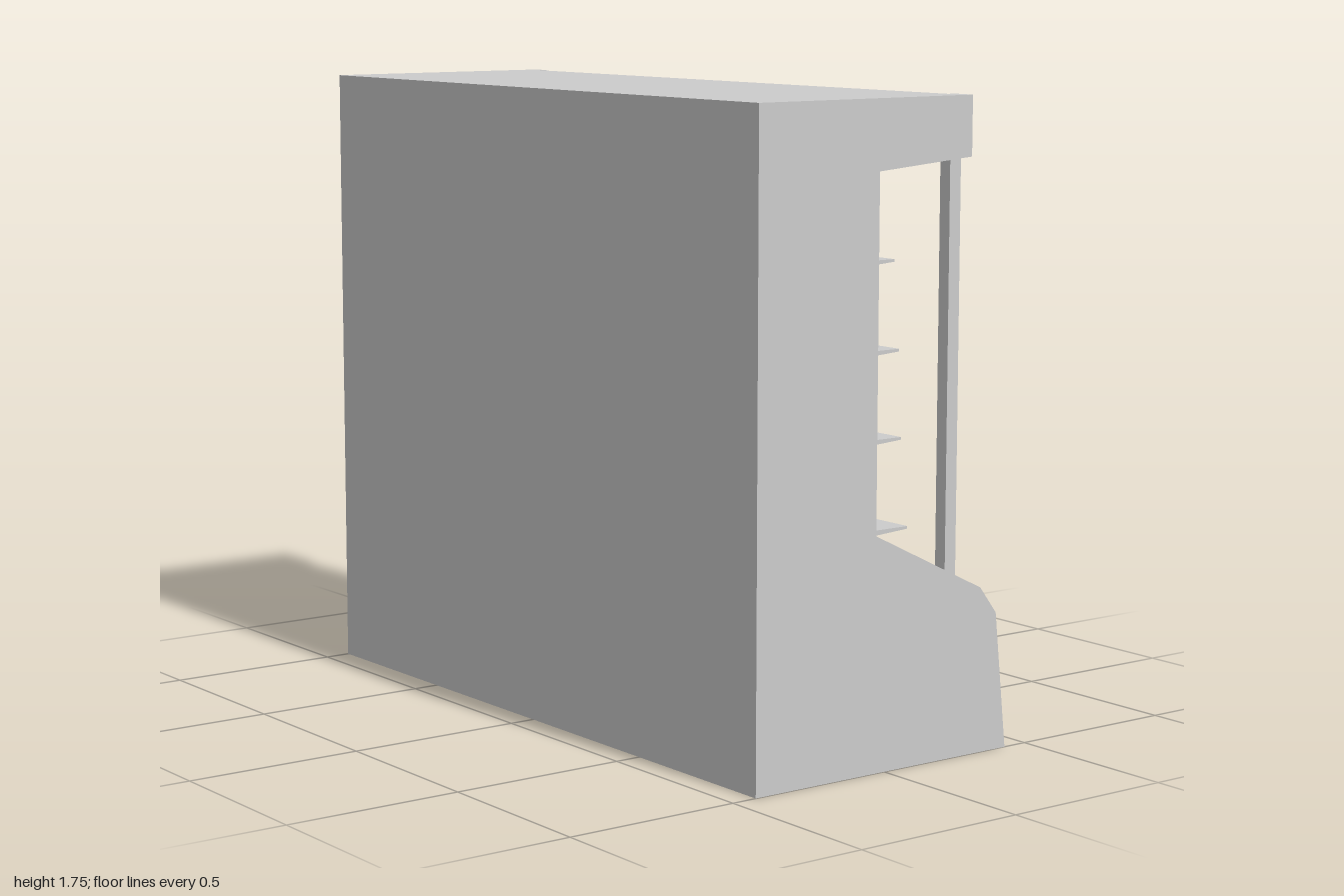
import * as THREE from 'three';
import { toCreasedNormals } from 'three/addons/utils/BufferGeometryUtils.js';

const Z_BACK = -0.943, Z_FRONT = 0.932; // inner faces of the end panels
const WALL_X = -0.36, DUCT_X = -0.39;   // vented wall and the duct face behind it
const FLOOR_Y = 0.378, CEILING_Y = 1.63;

export function createModel() {
  const model = new THREE.Group();
  const material = new THREE.MeshStandardMaterial({ color: 0xcccccc });

  const add = (name, geometry, parent) => {
    const mesh = new THREE.Mesh(toCreasedNormals(geometry, 0.6), material);
    mesh.name = name;
    parent.add(mesh);
  };
  const toShape = (points) => new THREE.Shape(points.map(([x, y]) => new THREE.Vector2(x, y)));

  // Extrude an x-y profile between two z positions
  const slab = (name, points, z0, z1, parent = model) => {
    const geometry = new THREE.ExtrudeGeometry(toShape(points), { depth: z1 - z0, bevelEnabled: false });
    geometry.translate(0, 0, z0);
    add(name, geometry, parent);
  };

  // Cabinet body: base, bumper lip, trough, duct face, stepped ceiling and canopy
  slab('cabinetBody', [
    [-0.427, 0], [0.336, 0], [0.336, 0.33], [0.379, 0.345], [0.379, 0.38], [0.30, 0.395],
    [0.30, FLOOR_Y], [DUCT_X, FLOOR_Y], [DUCT_X, CEILING_Y], [-0.05, CEILING_Y], [-0.05, 1.66],
    [0.253, 1.625], [0.253, 1.755], [-0.427, 1.755],
  ], Z_BACK, Z_FRONT);

  // C-shaped end panels
  const panel = [
    [-0.427, 0], [0.427, 0], [0.387, 0.375], [0.33, 0.45], [-0.035, 0.63],
    [-0.035, 1.57], [0.278, 1.595], [0.278, 1.755], [-0.427, 1.755],
  ];
  slab('leftEndPanel', panel, -1, Z_BACK);
  slab('rightEndPanel', panel, Z_FRONT, 1);

  // Upright posts in the end openings, bottom cut to the panel slope
  const post = [[0.216, 0.505], [0.253, 0.488], [0.253, 1.593], [0.216, 1.59]];
  slab('leftPost', post, -0.993, -0.955);
  slab('rightPost', post, 0.947, 0.985);

  // Tapered shelves, deeper towards the bottom
  const shelves = new THREE.Group();
  shelves.name = 'shelves';
  model.add(shelves);
  [[1.335, 0.075], [1.1, 0.095], [0.867, 0.105], [0.628, 0.13]].forEach(([y, x], i) => {
    slab(`shelf${i + 1}`, [
      [WALL_X, y - 0.037], [x, y - 0.007], [x, y], [WALL_X, y],
    ], Z_BACK, Z_FRONT, shelves);
  });

  // Back wall with air slots: three columns, three slots per shelf bay
  const rect = (u0, u1, y0, y1) => [[u0, y0], [u1, y0], [u1, y1], [u0, y1]];
  const wall = toShape(rect(-Z_FRONT, -Z_BACK, FLOOR_Y, CEILING_Y));
  for (const u of [-0.75, 0, 0.793]) {
    for (const top of [1.546, 1.28, 1.045, 0.803, 0.541]) {
      for (let k = 0; k < 3; k++) {
        const y = top - k * 0.0675;
        wall.holes.push(toShape(rect(u - 0.04, u + 0.04, y - 0.016, y + 0.016)));
      }
    }
  }
  const wallGeometry = new THREE.ExtrudeGeometry(wall, { depth: WALL_X - DUCT_X, bevelEnabled: false });
  wallGeometry.rotateY(Math.PI / 2).translate(DUCT_X, 0, 0);
  add('slottedBackWall', wallGeometry, model);

  return model;
}
